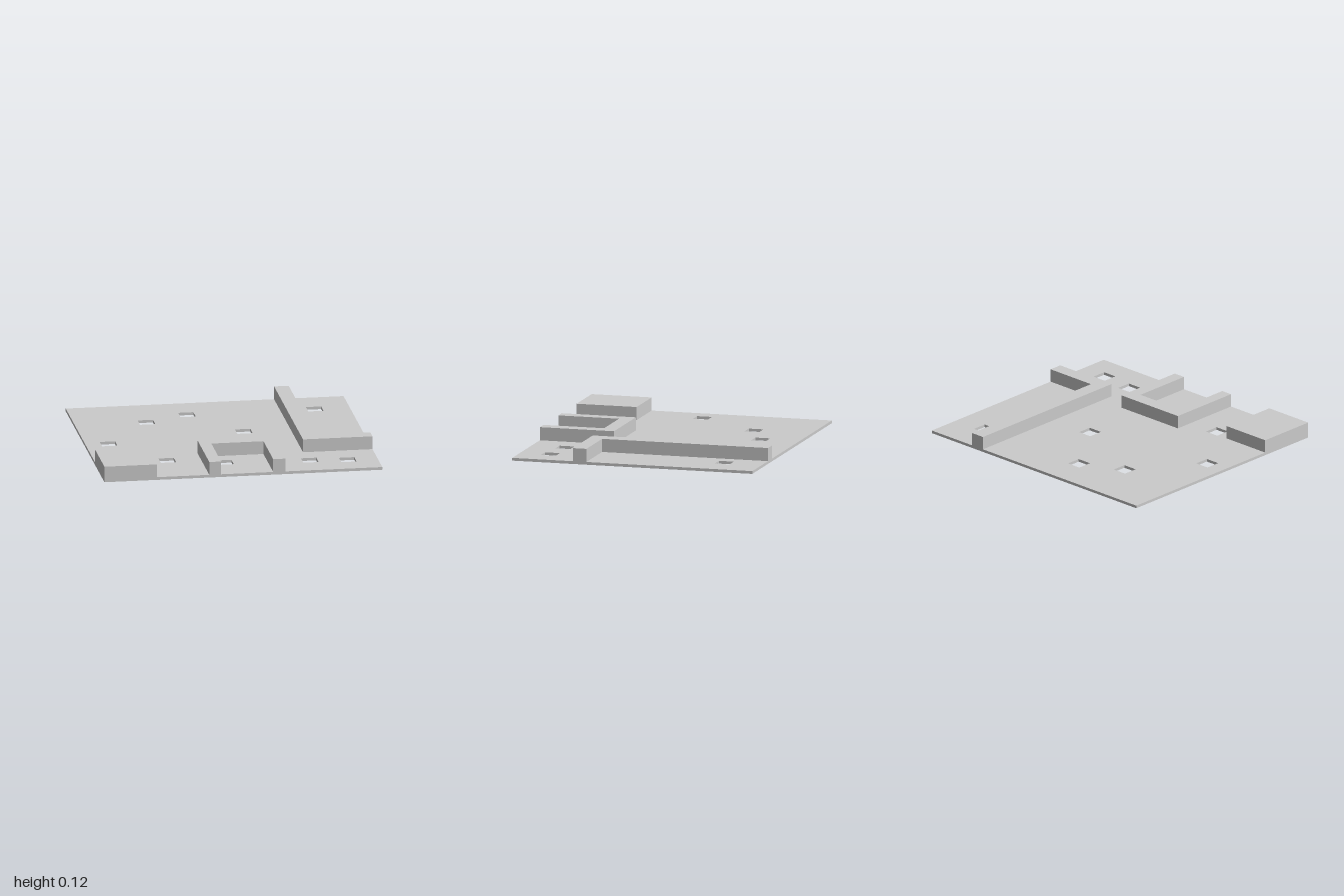
import * as THREE from 'three';

const BASE = 0.02, TOP = 0.115, HOLE = 0.11;
const material = new THREE.MeshStandardMaterial({ color: 0xcccccc, flatShading: true });

// Corners are given in plan as [x, z]
const toPlan = (points) => points.map(([x, z]) => new THREE.Vector2(x, -z));

// Raise a plan outline, with optional holes, from y0 to y1
function slab(name, outline, y0, y1, holes = []) {
  const shape = new THREE.Shape(toPlan(outline));
  shape.holes = holes.map((h) => new THREE.Path(toPlan(h)));
  const geometry = new THREE.ExtrudeGeometry(shape, { depth: y1 - y0, bevelEnabled: false });
  geometry.rotateX(-Math.PI / 2).translate(0, y0, 0);
  const mesh = new THREE.Mesh(geometry, material);
  mesh.name = name;
  return mesh;
}

const rect = (x0, x1, z0, z1) => [[x0, z0], [x0, z1], [x1, z1], [x1, z0]];

export function createModel() {
  const model = new THREE.Group();
  model.name = 'floorTile';

  // Thin floor plate with square through-holes
  const holeCentres = [
    [-0.485, -0.465], [-0.172, -0.607], [0.748, -0.607],
    [0.164, -0.137], [-0.834, 0.02], [-0.485, 0.49],
    [-0.087, 0.602], [0.517, 0.642], [0.786, 0.671],
  ];
  const r = HOLE / 2;
  const holes = holeCentres.map(([x, z]) => rect(x - r, x + r, z - r, z + r));
  model.add(slab('floorPlate', rect(-1, 1, -0.89, 0.89), 0, BASE, holes));

  // Solid block in the front right corner
  model.add(slab('cornerBlock', rect(-1, -0.62, 0.445, 0.89), BASE, TOP));

  // U-shaped wall open to the front
  model.add(slab('alcoveWall', [
    [-0.245, 0.34], [-0.245, 0.89], [-0.16, 0.89], [-0.16, 0.44],
    [0.215, 0.44], [0.215, 0.89], [0.305, 0.89], [0.305, 0.34],
  ], BASE, TOP));

  // L-shaped wall closing off the left back corner
  model.add(slab('cornerWall', [
    [0.5, -0.89], [0.5, 0.44], [1, 0.44], [1, 0.34], [0.605, 0.34], [0.605, -0.89],
  ], BASE, TOP));

  return model;
}
